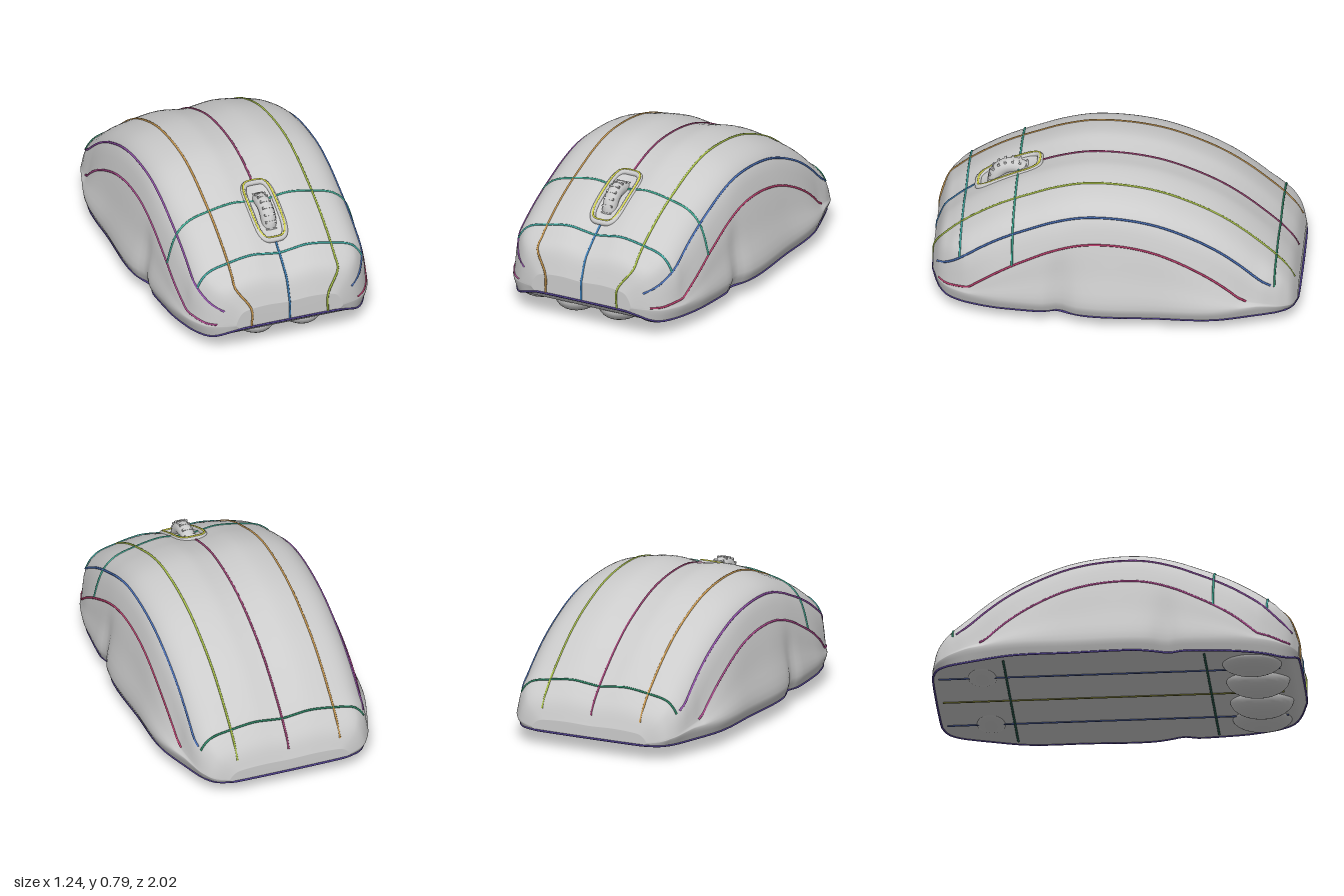
import * as THREE from 'three';

// Smooth interpolation through [z, value] pairs, level at peaks
function smoothTable(p) {
  const d = p.slice(1).map((q, i) => (q[1] - p[i][1]) / (q[0] - p[i][0]));
  const m = p.map((_, i) => {
    if (i === 0) return d[0];
    if (i === p.length - 1) return d[i - 1];
    return d[i - 1] * d[i] <= 0 ? 0 : (d[i - 1] + d[i]) / 2;
  });
  return (z) => {
    let i = 0;
    while (i < p.length - 2 && z > p[i + 1][0]) i++;
    const h = p[i + 1][0] - p[i][0], t = (z - p[i][0]) / h, s = 1 - t;
    return p[i][1] * (1 + 2 * t) * s * s + p[i + 1][1] * t * t * (3 - 2 * t)
      + h * (m[i] * t * s * s - m[i + 1] * t * t * s);
  };
}

const topY = smoothTable([[-1, 0.16], [-0.97, 0.245], [-0.92, 0.32], [-0.8, 0.445], [-0.6, 0.6], [-0.4, 0.702],
  [-0.2, 0.768], [0.08, 0.797], [0.2, 0.788], [0.35, 0.75], [0.45, 0.712], [0.55, 0.672], [0.65, 0.625],
  [0.75, 0.567], [0.82, 0.52], [0.9, 0.455], [0.96, 0.385], [1, 0.27]]);
const bottomY = smoothTable([[-1, 0.09], [0.9, 0.09], [0.95, 0.105], [1, 0.15]]);
const halfWidth = smoothTable([[-1, 0.35], [-0.98, 0.42], [-0.93, 0.475], [-0.85, 0.51], [-0.7, 0.535], [0, 0.54],
  [0.6, 0.545], [0.75, 0.53], [0.85, 0.5], [0.93, 0.445], [0.97, 0.39], [1, 0.31]]);
const flare = smoothTable([[-1, 0], [-0.8, 0.01], [-0.55, 0.06], [-0.3, 0.068], [0.2, 0.066], [0.3, 0.025],
  [0.38, 0.045], [0.6, 0.03], [0.75, 0.015], [1, 0]]);

const STEPS = 4; // samples between neighbouring profile points

// Cross-section from the left base edge, over the top, to the right base edge
function section(z) {
  const T = topY(z), B = bottomY(z), W = halfWidth(z), F = flare(z);
  const s = Math.min(1, (T - B) / 0.36);
  const low = B + 0.07 * s;
  const arch = Math.max(T - (0.265 + 0.12 * z * z) * s, B + 0.25 * (T - B));
  const half = [
    [W + F - 0.025, B], [W + F, low], [W + F * 0.5, (arch + low) / 2], [W, arch],
    [Math.min(0.49, W * 0.95), T - (0.12 + 0.03 * z * z) * s], [Math.min(0.42, W * 0.87), T - 0.06 * s],
    [Math.min(0.3, W * 0.72), T - 0.022 * s], [Math.min(0.16, W * 0.4), T], [Math.min(0.065, W * 0.16), T - 0.012 * s],
  ];
  const pts = [...half, [0, T - 0.02 * s], ...half.slice().reverse().map(([x, y]) => [-x, y])];
  return new THREE.CatmullRomCurve3(pts.map(([x, y]) => new THREE.Vector3(x, y, z)))
    .getPoints((pts.length - 1) * STEPS);
}

// Skin rows of points into one surface
function skin(rows) {
  const n = rows[0].length, index = [];
  for (let i = 0; i < rows.length - 1; i++)
    for (let j = 0; j < n - 1; j++) {
      const a = i * n + j, c = a + n;
      index.push(a, a + 1, c, a + 1, c + 1, c);
    }
  const g = new THREE.BufferGeometry().setFromPoints(rows.flat());
  g.setIndex(index);
  g.computeVertexNormals();
  return g;
}

export function createModel() {
  const model = new THREE.Group();
  model.name = 'computerMouse';
  const grey = new THREE.MeshStandardMaterial({ color: 0xcccccc });
  const add = (name, geometry) => {
    const mesh = new THREE.Mesh(geometry, grey);
    mesh.name = name;
    model.add(mesh);
    return mesh;
  };
  const seam = (name, pts, color, closed = false) => {
    const curve = new THREE.CatmullRomCurve3(pts, closed);
    add(name, new THREE.TubeGeometry(curve, pts.length * 2, 0.006, 6, closed))
      .material = new THREE.MeshStandardMaterial({ color });
  };

  // Shell: stations crowd together toward the rounded ends, each end closed by a fan from its base line
  const N = 80;
  const zs = Array.from({ length: N + 1 }, (_, i) => Math.sin((i / N - 0.5) * Math.PI));
  const rows = zs.map(section);
  const last = rows[0].length - 1;
  const fan = (row) => row.map((p) => new THREE.Vector3(0, row[0].y, p.z));
  add('shell', skin([fan(rows[0]), ...rows, fan(rows[N])]));

  // Flat underside
  add('underside', skin(rows.map((r) => [r[last].clone(), r[0].clone()])));

  // Rounded lobes beneath the front, low pads beneath the rear
  const blob = (name, x, y, z, rx, ry, rz) => {
    const m = add(name, new THREE.SphereGeometry(1, 28, 18));
    m.position.set(x, y, z);
    m.scale.set(rx, ry, rz);
  };
  for (const side of [1, -1]) {
    blob('innerFrontLobe', side * 0.135, 0.1, 0.765, 0.128, 0.097, 0.175);
    blob('outerFrontLobe', side * 0.36, 0.1, 0.75, 0.13, 0.064, 0.165);
    blob('rearPad', side * 0.3, 0.095, -0.73, 0.12, 0.02, 0.08);
  }

  // Scroll wheel with grip ridges
  const wheel = new THREE.Group();
  wheel.name = 'scrollWheel';
  wheel.position.set(0, 0.567, 0.585);
  model.add(wheel);
  const tyre = new THREE.Mesh(new THREE.TorusGeometry(0.095, 0.042, 14, 40), grey);
  tyre.name = 'wheelTyre';
  tyre.rotation.y = Math.PI / 2;
  wheel.add(tyre);
  for (let i = 0; i < 20; i++) {
    const a = (i / 20) * Math.PI * 2;
    const ridge = new THREE.Mesh(new THREE.BoxGeometry(0.06, 0.012, 0.012), grey);
    ridge.name = 'wheelRidge';
    ridge.position.set(0, Math.cos(a) * 0.131, Math.sin(a) * 0.131);
    ridge.rotation.x = a;
    wheel.add(ridge);
  }

  // Raised rim around the wheel
  const rim = Array.from({ length: 28 }, (_, i) => {
    const a = (i / 28) * Math.PI * 2, c = Math.cos(a), s = Math.sin(a);
    const z = 0.605 + 0.17 * Math.sign(s) * Math.sqrt(Math.abs(s));
    return new THREE.Vector3(0.08 * Math.sign(c) * Math.sqrt(Math.abs(c)), topY(z) - 0.016, z);
  });
  add('wheelRim', new THREE.TubeGeometry(new THREE.CatmullRomCurve3(rim, true), 80, 0.018, 8, true));
  seam('wheelRimSeam', rim.map((p) => p.clone().setY(p.y + 0.016)), 0xd8d84a, true);

  // Lengthwise seams follow one profile point from back to front
  const along = (k, z0, z1) => Array.from({ length: 41 }, (_, i) => section(z0 + (z1 - z0) * i / 40)[k]);
  // Front seams also run down the nose to the base
  const downNose = (pts) => [...pts, new THREE.Vector3(pts.at(-1).x, 0.15, 1)];
  for (const [left, colors] of [[true, [0xc04070, 0x4a70b8, 0xa8c048]], [false, [0xb04a90, 0x9050a8, 0xc89850]]]) {
    const at = (k) => (left ? k * STEPS : last - k * STEPS);
    seam('sideArchSeam', along(at(3), -0.73, 0.96), colors[0]);
    seam('shoulderSeam', along(at(4), -0.86, 0.97), colors[1]);
    seam('topSeam', downNose(along(at(6), -0.98, 1)), colors[2]);
  }
  seam('centreSeam', along(last / 2, -0.98, 0.43), 0x984070);
  seam('buttonGapSeam', downNose(along(last / 2, 0.78, 1)), 0x4080b8);

  // Crosswise seams run over one section
  for (const [z, k, color] of [[0.55, 3, 0x48b8a0], [0.84, 4, 0x48b8b0], [-0.88, 4, 0x308868]])
    seam('crossSeam', section(z).slice(k * STEPS, last - k * STEPS + 1), color);

  // Seams around and across the base
  const edge = rows.filter((_, i) => i % 2 === 0);
  seam('baseSeam', [...edge.map((r) => r[0]), ...edge.map((r) => r[last]).reverse()], 0x504090, true);
  const flat = (x0, z0, x1, z1) => [new THREE.Vector3(x0, 0.089, z0), new THREE.Vector3(x1, 0.089, z1)];
  for (const x of [-0.3, 0, 0.3]) seam('undersideSeam', flat(x, -0.97, x, 0.9), x ? 0x405088 : 0x707030);
  for (const z of [-0.6, 0.5]) seam('undersideSeam', flat(-0.53, z, 0.53, z), 0x306858);

  return model;
}
